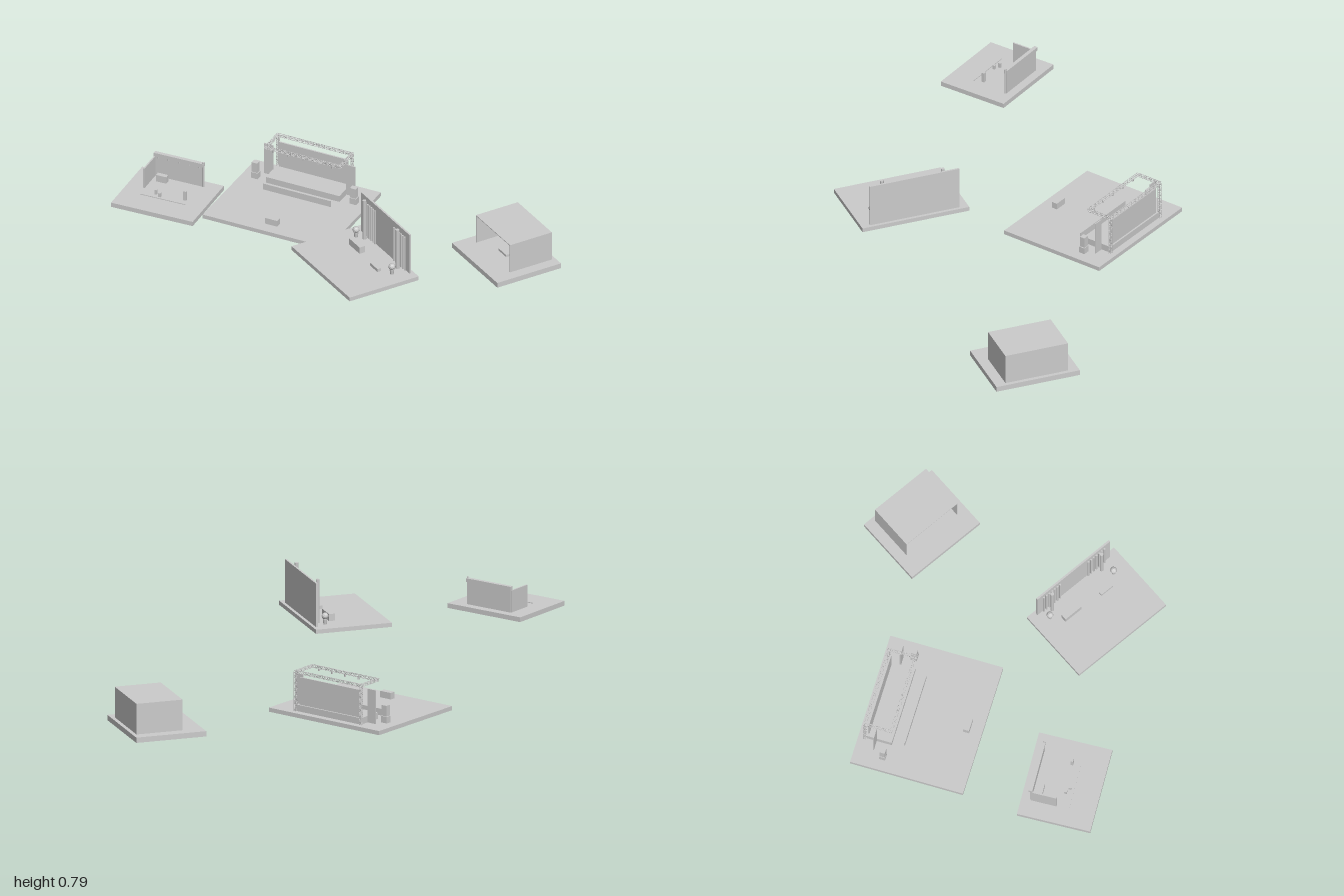
import * as THREE from 'three';

const mat = new THREE.MeshStandardMaterial({ color: 0xcccccc, side: THREE.DoubleSide });
const flat = new THREE.MeshStandardMaterial({ color: 0xcccccc, flatShading: true });

function add(parent, name, geo, x, y, z, m = mat) {
  const mesh = new THREE.Mesh(geo, m);
  mesh.name = name;
  mesh.position.set(x, y, z);
  parent.add(mesh);
  return mesh;
}

// Box standing on height y, measured from the floor of its platform
function box(parent, name, w, h, d, x, y, z) {
  return add(parent, name, new THREE.BoxGeometry(w, h, d), x, y + h / 2, z);
}

function cyl(parent, name, r, h, x, y, z, sides = 12) {
  return add(parent, name, new THREE.CylinderGeometry(r, r, h, sides), x, y + h / 2, z);
}

// Platform slab; the group's origin is the middle of its top face
function platform(root, name, w, d, x, bottom, z, turn, thick) {
  const g = new THREE.Group();
  g.name = name;
  g.position.set(x, bottom + thick, z);
  g.rotation.y = turn;
  box(g, 'platformSlab', w, thick, d, 0, -thick, 0);
  root.add(g);
  return g;
}

// Straight bar between two points
function rod(parent, name, a, b, t) {
  const m = add(parent, name, new THREE.BoxGeometry(t, t, a.distanceTo(b)), 0, 0, 0);
  m.position.copy(a).lerp(b, 0.5);
  m.quaternion.setFromUnitVectors(new THREE.Vector3(0, 0, 1), b.clone().sub(a).normalize());
}

// Lattice truss along local x, centred on its group
function truss(parent, length, size) {
  const g = new THREE.Group();
  g.name = 'truss';
  const s = size / 2;
  const corners = [[s, s], [s, -s], [-s, -s], [-s, s]];
  const V = (x, c) => new THREE.Vector3(x, c[0], c[1]);
  const n = Math.round(length / (size * 1.3));
  corners.forEach((c, k) => {
    const next = corners[(k + 1) % 4];
    rod(g, 'trussChord', V(-length / 2, c), V(length / 2, c), 0.002);
    for (let i = 0; i < n; i++) {
      const x0 = -length / 2 + (i * length) / n, x1 = x0 + length / n;
      rod(g, 'trussBrace', V(x0, i % 2 ? c : next), V(x1, i % 2 ? next : c), 0.0015);
    }
  });
  parent.add(g);
  return g;
}

// Row of small lamps along x
function lamps(parent, count, span, y, z, r) {
  for (let i = 0; i < count; i++) {
    cyl(parent, 'lamp', r, r * 2.4, -span / 2 + (span * i) / (count - 1), y, z, 8);
  }
}

// Dark box room, open to the front
function buildRoom(root) {
  const g = platform(root, 'roomPlatform', 0.455, 0.377, 0.527, 0, -0.752, -0.295, 0.028);
  const w = 0.342, d = 0.248, h = 0.162, zc = -0.044, t = 0.004;
  for (const s of [-1, 1]) box(g, 'sideWall', t, h, d, s * (w - t) / 2, 0, zc);
  box(g, 'backWall', w, h, t, 0, 0, zc - (d - t) / 2);
  box(g, 'roof', w, t, d, 0, h - t, zc);
  lamps(g, 5, 0.3, h - 0.018, zc - d / 2 + 0.004, 0.004);
  box(g, 'lowTable', 0.075, 0.012, 0.022, -0.005, 0, 0.01);
}

// Concert stage
function buildStage(root) {
  const g = platform(root, 'stagePlatform', 0.715, 0.601, -0.393, 0.2, -0.135, 0.277, 0.022);
  box(g, 'stageDeck', 0.42, 0.034, 0.14, 0, 0, -0.193);
  box(g, 'videoWall', 0.39, 0.145, 0.008, 0, 0.034, -0.25);
  box(g, 'barrier', 0.385, 0.035, 0.005, 0, 0, -0.06);
  box(g, 'mixingDesk', 0.07, 0.034, 0.032, 0, 0, 0.22);

  // Screens and stacked speakers on both sides
  for (const s of [-1, 1]) {
    box(g, 'sideScreen', 0.052, 0.178, 0.005, s * 0.235, 0, -0.205);
    box(g, 'lowerSpeaker', 0.038, 0.034, 0.032, s * 0.281, 0, -0.148);
    box(g, 'upperSpeaker', 0.032, 0.056, 0.028, s * 0.281, 0.036, -0.148);
    const post = truss(g, 0.208, 0.013);
    post.name = 'trussPost';
    post.rotation.z = Math.PI / 2;
    post.position.set(s * 0.212, 0.104, -0.265);
    const arm = truss(g, 0.14, 0.012);
    arm.name = 'trussArm';
    arm.rotation.y = Math.PI / 2;
    arm.position.set(s * 0.212, 0.208, -0.196);
  }
  // Overhead trusses, the front one with lamps
  for (const z of [-0.265, -0.126]) truss(g, 0.436, 0.012).position.set(0, 0.208, z);
  lamps(g, 5, 0.34, 0.188, -0.126, 0.005);
}

// Photo backdrop with curtains
function buildBackdrop(root) {
  const g = platform(root, 'backdropPlatform', 0.583, 0.409, 0.478, 0.428, 0.336, -0.295, 0.022);
  box(g, 'backdropWall', 0.487, 0.23, 0.01, 0, 0, -0.183);
  for (const s of [-1, 1]) {
    for (let i = 0; i < 7; i++) cyl(g, 'curtainFold', 0.005, 0.198, s * (0.095 + i * 0.018), 0, -0.174, 8);
    cyl(g, 'column', 0.01, 0.23, s * 0.166, 0, -0.153, 8);
  }
  box(g, 'counter', 0.107, 0.037, 0.032, -0.105, 0, -0.073);
  box(g, 'bench', 0.076, 0.017, 0.02, 0.11, 0, -0.055);
  for (const [x, z] of [[-0.204, -0.126], [0.2, -0.1]]) {
    add(g, 'plantPot', new THREE.CylinderGeometry(0.012, 0.009, 0.028, 10), x, 0.014, z);
    add(g, 'plantBall', new THREE.IcosahedronGeometry(0.018, 1), x, 0.043, z, flat);
  }
}

// Small corner booth
function buildBooth(root) {
  const g = platform(root, 'boothPlatform', 0.457, 0.386, -0.452, 0.622, 0.738, 0.318, 0.025);
  box(g, 'backWall', 0.27, 0.118, 0.008, 0, 0, -0.145);
  box(g, 'header', 0.278, 0.02, 0.02, 0, 0.118, -0.145);
  box(g, 'sideWall', 0.008, 0.116, 0.135, -0.135, 0, -0.075);
  cyl(g, 'cornerPole', 0.005, 0.146, 0.138, 0, -0.143, 8);
  lamps(g, 5, 0.23, 0.108, -0.142, 0.005);
  box(g, 'counter', 0.058, 0.038, 0.025, -0.077, 0, -0.104);
  box(g, 'pedestal', 0.016, 0.053, 0.014, 0.105, 0, 0.012);
  box(g, 'stool', 0.013, 0.026, 0.013, -0.055, 0, 0.02);
  box(g, 'stool', 0.013, 0.022, 0.013, -0.027, 0, 0.036);
  // Low kerb line in front
  box(g, 'kerb', 0.255, 0.004, 0.003, 0, 0, 0.057);
}

export function createModel() {
  const root = new THREE.Group();
  root.name = 'eventStands';
  buildRoom(root);
  buildStage(root);
  buildBackdrop(root);
  buildBooth(root);
  return root;
}
